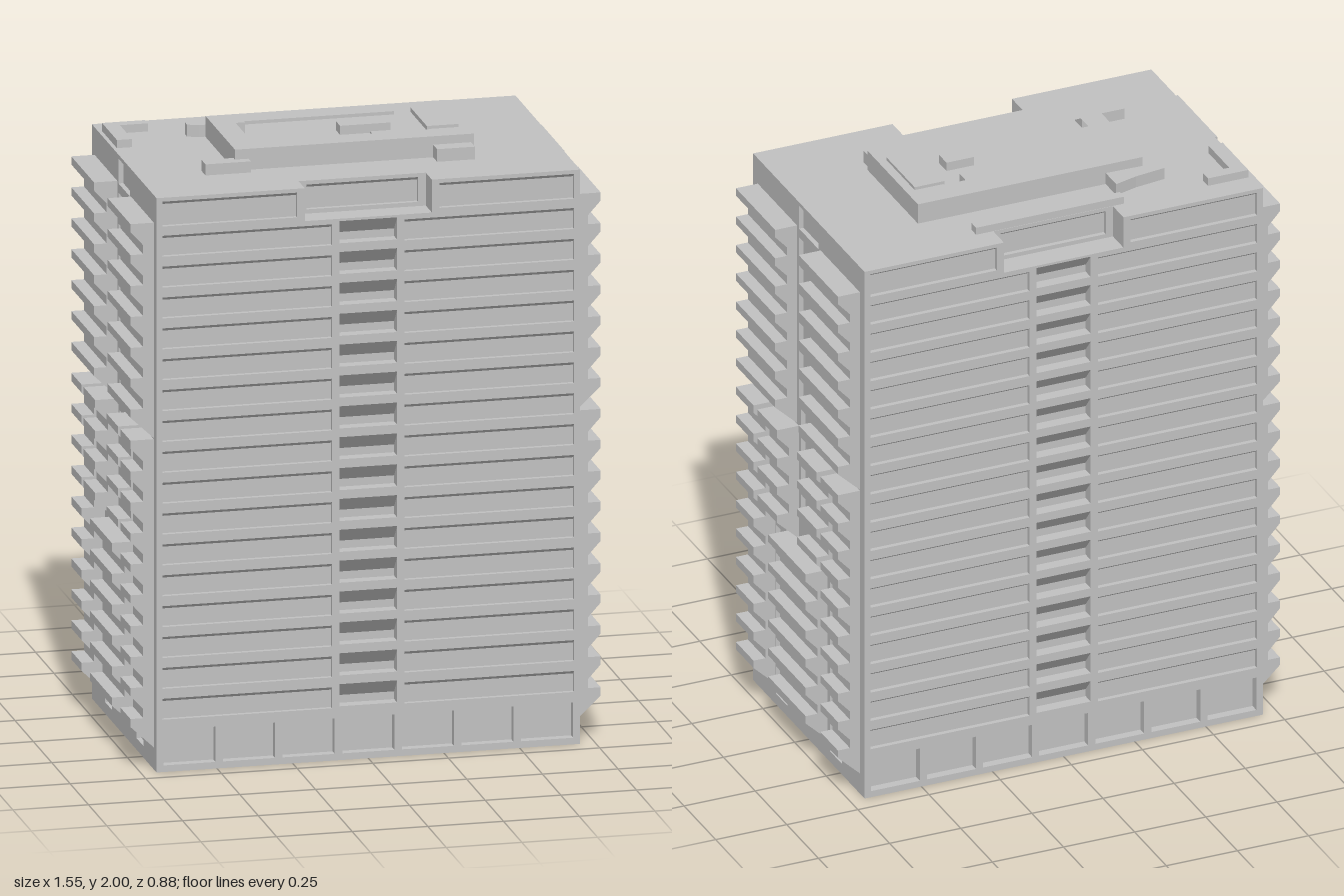
import * as THREE from 'three';
import { mergeGeometries } from 'three/addons/utils/BufferGeometryUtils.js';

const concrete = new THREE.MeshStandardMaterial({ color: 0xc0c0c0 });
concrete.name = 'concrete grey';

const W = 0.70, D = 0.44, H = 1.92;          // half width, half depth, roof height
const NOTCH = 0.21, NOTCH_Y = 1.81, NOTCH_Z = 0.357;
const FLOOR = 0.1034;                         // storey height

function add(parent, name, geometry) {
  const mesh = new THREE.Mesh(geometry, concrete);
  mesh.name = name;
  parent.add(mesh);
  return mesh;
}

// Flat four-sided faces, corners counter-clockwise seen from outside
function quads(list) {
  const pos = [];
  for (const [a, b, c, d] of list) for (const p of [a, b, c, a, c, d]) pos.push(...p);
  const g = new THREE.BufferGeometry();
  g.setAttribute('position', new THREE.Float32BufferAttribute(pos, 3));
  g.computeVertexNormals();
  return g;
}

// Recess behind an opening in a wall facing +z; the soffit slopes down by drop
function pocket({ x0, x1, y0, y1, depth, drop }, z) {
  const b = z - depth, t = y1 - drop;
  const A = [x0, y0, z], B = [x1, y0, z], C = [x1, y1, z], E = [x0, y1, z];
  const a = [x0, y0, b], b2 = [x1, y0, b], c = [x1, t, b], e = [x0, t, b];
  return quads([[a, b2, c, e], [A, B, b2, a], [B, C, c, b2], [C, E, e, c], [E, A, a, e]]);
}

const polygon = pts => new THREE.Shape(pts.map(p => new THREE.Vector2(...p)));
const rect = (x0, x1, y0, y1) => polygon([[x0, y0], [x1, y0], [x1, y1], [x0, y1]]);

// Wall with openings and their recesses
function wall(parent, name, outline, openings, z) {
  const face = outline.clone();
  face.holes = openings.map(o => new THREE.Path([
    [o.x0, o.y0], [o.x0, o.y1], [o.x1, o.y1], [o.x1, o.y0]].map(p => new THREE.Vector2(...p))));
  add(parent, name, new THREE.ShapeGeometry(face)).position.z = z;
  add(parent, name + 'Recesses', mergeGeometries(openings.map(o => pocket(o, z))));
}

const opening = (x0, x1, y0, y1, depth = 0.016, drop = 0.012) => ({ x0, x1, y0, y1, depth, drop });

// Long facade: window bands, stair bays, ground-floor bays and roof notch
function longFacade() {
  const g = new THREE.Group();
  const list = [opening(-0.68, -0.235, 1.824, 1.907), opening(0.235, 0.68, 1.824, 1.907)];
  for (let i = 0; i < 16; i++) {
    const y = 0.175 + i * 0.1032;
    list.push(opening(-0.68, -0.12, y, y + 0.07), opening(0.12, 0.68, y, y + 0.07));
    list.push(opening(-0.095, 0.095, y + 0.005, y + 0.079, 0.04, 0.048));
  }
  for (let i = -3; i <= 3; i++) {
    list.push(opening(i * 0.197 - 0.086, i * 0.197 + 0.086, 0.022, 0.14, 0.03, 0));
  }
  wall(g, 'facade', polygon([[-W, 0], [W, 0], [W, H], [NOTCH, H], [NOTCH, NOTCH_Y],
    [-NOTCH, NOTCH_Y], [-NOTCH, H], [-W, H]]), list, D);
  wall(g, 'notchWall', rect(-NOTCH, NOTCH, NOTCH_Y, H), [opening(-0.185, 0.185, 1.824, 1.907)], NOTCH_Z);
  const n = NOTCH, y = NOTCH_Y, z = NOTCH_Z;
  add(g, 'notchLining', quads([
    [[-n, y, D], [n, y, D], [n, y, z], [-n, y, z]],
    [[-n, y, D], [-n, y, z], [-n, H, z], [-n, H, D]],
    [[n, y, z], [n, y, D], [n, H, D], [n, H, z]]]));
  return g;
}

// Stack of balconies on the +x side, floors counted downward from the top
function balconyStack(parent, first, last, z0, z1) {
  const top = k => 1.828 - k * FLOOR;
  const pts = [[W, top(first)]];
  for (let k = first; k <= last; k++) {
    const y = top(k);
    pts.push([0.777, y], [0.777, y - 0.027]);
    if (k < last) pts.push([0.735, y - 0.073], [0.735, top(k + 1)]);
    else pts.push([W, y - 0.1]);
  }
  add(parent, 'balconies', new THREE.ExtrudeGeometry(polygon(pts),
    { depth: z1 - z0, bevelEnabled: false })).position.z = z0;
}

// Short facade facing +x
function shortFacade() {
  const g = new THREE.Group();
  const face = new THREE.Group();
  face.name = 'endWall';
  face.rotation.y = Math.PI / 2;
  g.add(face);
  const list = [opening(-0.077, 0.077, 1.824, 1.907)];
  for (let k = 0; k < 17; k++) {
    const y1 = 1.793 - k * FLOOR, y0 = y1 - (k === 16 ? 0.1 : 0.074);
    if (k < 10) {
      const w = k < 6 ? 0.077 : 0.061;
      list.push(opening(-w, w, y0, y1));
    } else if (k > 10) {
      list.push(opening(-0.26, -0.167, y0, y1), opening(0.167, 0.26, y0, y1));
    }
  }
  wall(face, 'endFacade', rect(-D, D, 0, H), list, W);
  for (const s of [-1, 1]) {
    const stack = (first, last, a, b) =>
      balconyStack(g, first, last, Math.min(s * a, s * b), Math.max(s * a, s * b));
    stack(0, 6, 0.093, 0.403);
    stack(7, 16, 0.264, 0.403);
    stack(7, 10, 0.079, 0.234);
  }
  balconyStack(g, 11, 16, -0.148, 0.148);
  return g;
}

// Upright prism from an outline in x, z
function prism(parent, name, pts, y0, y1, hole) {
  const s = polygon(pts.map(([x, z]) => [x, -z]));
  if (hole) s.holes.push(new THREE.Path(hole.map(([x, z]) => new THREE.Vector2(x, -z))));
  const geo = new THREE.ExtrudeGeometry(s, { depth: y1 - y0, bevelEnabled: false });
  add(parent, name, geo.rotateX(-Math.PI / 2)).position.y = y0;
}
const box = (x0, x1, z0, z1) => [[x0, z0], [x1, z0], [x1, z1], [x0, z1]];

export function createModel() {
  const model = new THREE.Group();
  model.name = 'apartmentTower';

  // Four walls
  for (const [i, end] of ['front', 'back'].entries()) {
    const f = longFacade();
    f.name = end + 'Facade';
    f.rotation.y = i * Math.PI;
    const s = shortFacade();
    s.name = ['left', 'right'][i] + 'Side';
    s.rotation.y = i * Math.PI;
    model.add(f, s);
  }

  // Roof slab with both notches, and the underside
  const n = NOTCH, z = NOTCH_Z;
  const roof = new THREE.ShapeGeometry(polygon([[-W, -D], [-n, -D], [-n, -z], [n, -z], [n, -D], [W, -D],
    [W, D], [n, D], [n, z], [-n, z], [-n, D], [-W, D]]));
  add(model, 'roof', roof.rotateX(-Math.PI / 2)).position.y = H;
  add(model, 'underside', new THREE.PlaneGeometry(2 * W, 2 * D).rotateX(Math.PI / 2));

  // Plant room with sunken top
  prism(model, 'plantRoom', box(-0.38, 0.41, -0.21, 0.19), H, 1.99, box(-0.305, 0.28, -0.122, 0.11));
  prism(model, 'plantRoomPit', box(-0.305, 0.28, -0.122, 0.11), H, 1.945);
  prism(model, 'plantHatch', box(0.275, 0.38, -0.117, 0.104), 1.985, 2.0);
  prism(model, 'plantUnit', box(0.025, 0.192, -0.105, -0.048), 1.945, 1.975);
  prism(model, 'plantUnit', box(0.104, 0.2, 0.036, 0.096), 1.945, 1.975);

  // Loose roof structures
  prism(model, 'roofBar', box(-0.25, 0.27, -0.355, -0.32), H, 1.945);
  prism(model, 'roofDuct', [[-0.437, -0.255], [-0.33, -0.27], [-0.25, -0.293],
    [-0.25, -0.21], [-0.4, -0.214], [-0.437, -0.228]], H, 1.96);
  prism(model, 'roofCorner', [[-0.687, -0.355], [-0.545, -0.355], [-0.545, -0.316],
    [-0.637, -0.316], [-0.637, -0.152], [-0.687, -0.152]], H, 1.947);
  prism(model, 'roofBox', box(-0.485, -0.335, 0.17, 0.222), H, 1.957);
  prism(model, 'roofBox', box(0.275, 0.4, 0.19, 0.244), H, 1.962);
  return model;
}
